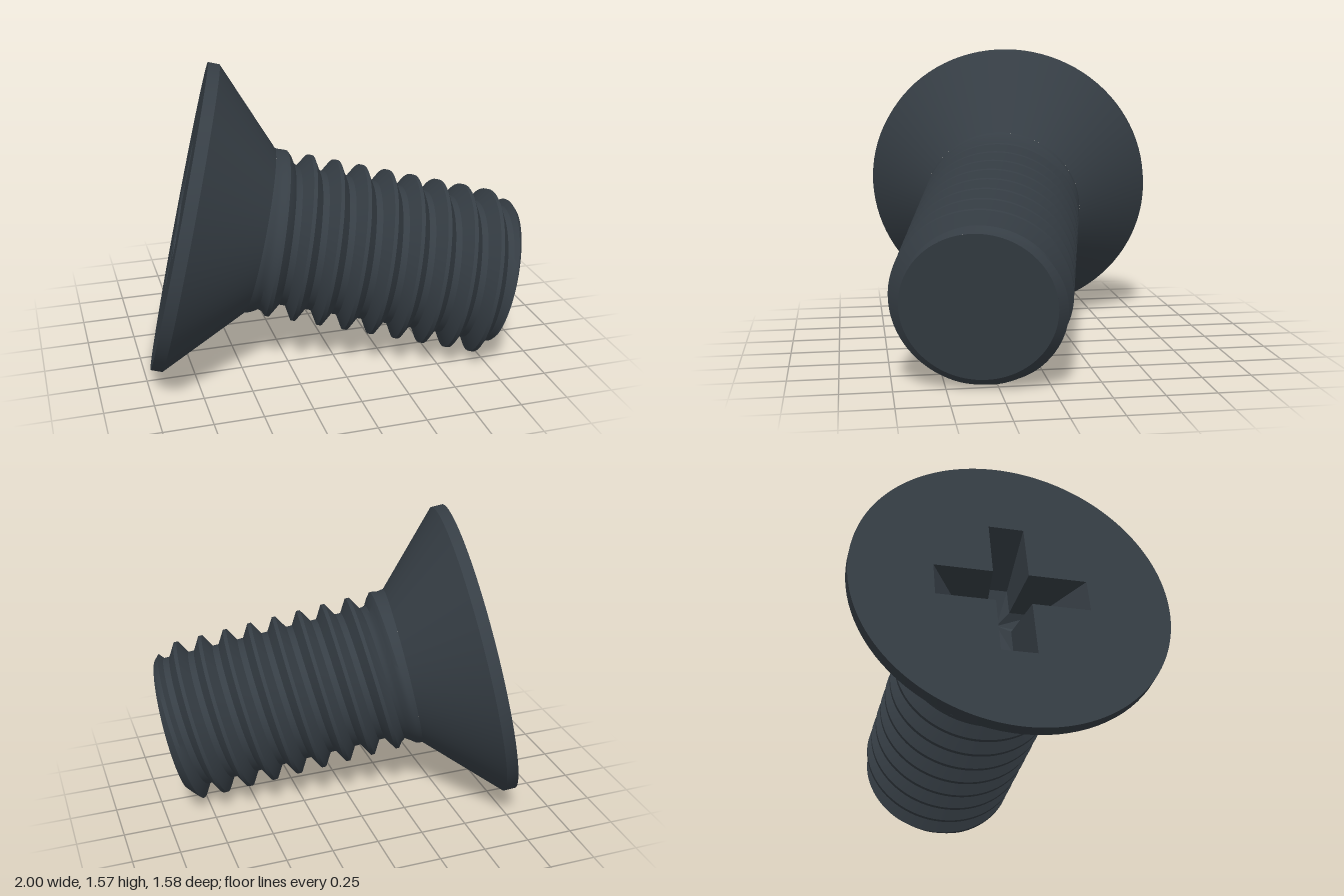
import * as THREE from 'three';
import { mergeVertices, toCreasedNormals } from 'three/addons/utils/BufferGeometryUtils.js';

const HEAD_R = 0.8, RIM = 0.06, NECK = 0.42, END = 1.72, END_R = 0.37;
const CREST = 0.434, ROOT = 0.364, PITCH = 0.138, PHASE = 1.307;

function meshFrom(name, points, material, crease) {
  let geo = new THREE.BufferGeometry();
  geo.setAttribute('position', new THREE.Float32BufferAttribute(points.flat(), 3));
  geo = toCreasedNormals(geo, crease);
  const mesh = new THREE.Mesh(geo, material);
  mesh.name = name;
  return mesh;
}

function latheMesh(name, profile, material) {
  let geo = new THREE.LatheGeometry(profile.map(([r, y]) => new THREE.Vector2(r, y)), 96);
  geo.deleteAttribute('normal');
  geo.deleteAttribute('uv');
  geo = toCreasedNormals(mergeVertices(geo), 0.4);
  const mesh = new THREE.Mesh(geo, material);
  mesh.name = name;
  return mesh;
}

// Thread radius at axial position s and turn fraction t
function threadRadius(s, t) {
  const q = (s - PHASE) / PITCH - t;
  const d = Math.abs(q - Math.round(q)); // 0 at the crest, 0.5 at the root
  const cut = THREE.MathUtils.clamp((d - 0.07) / 0.31, 0, 1);
  const fade = THREE.MathUtils.smoothstep(s, NECK, NECK + 0.15);
  const r = CREST - (CREST - ROOT) * cut * fade;
  return Math.min(r, END_R + (END - s)); // end chamfer
}

// Helical grid whose rows follow the crest and root of the thread
function threadPoints() {
  const offsets = [-0.38, -0.225, -0.07, 0, 0.07, 0.225, 0.38, 0.5];
  const seg = 80, rows = [], out = [];
  for (let k = -8; k <= 4; k++) for (const o of offsets) rows.push(k + o);
  const at = (i, j) => {
    const t = i / seg, a = t * Math.PI * 2;
    const s = THREE.MathUtils.clamp(PHASE + PITCH * (rows[j] + t), NECK, END);
    const r = threadRadius(s, t);
    return [r * Math.cos(a), s, -r * Math.sin(a)];
  };
  for (let j = 0; j < rows.length - 1; j++) {
    for (let i = 0; i < seg; i++) {
      const a = at(i, j), b = at(i + 1, j), c = at(i + 1, j + 1), d = at(i, j + 1);
      if (b[1] !== c[1]) out.push(...a, ...b, ...c);
      if (a[1] !== d[1]) out.push(...a, ...c, ...d);
    }
  }
  return out;
}

// Counter-clockwise cross outline: half length l, half width w
function cross(l, w) {
  const pts = [];
  for (let k = 0; k < 4; k++) {
    const c = Math.round(Math.cos(k * Math.PI / 2)), s = Math.round(Math.sin(k * Math.PI / 2));
    for (const [x, y] of [[l, -w], [l, w], [w, w]]) pts.push([x * c - y * s, x * s + y * c]);
  }
  return pts;
}

export function createModel() {
  const steel = new THREE.MeshStandardMaterial({ color: 0x363e45 });
  steel.name = 'dark steel';

  const screw = new THREE.Group();
  screw.name = 'countersunkScrew';

  // Rim and cone of the head
  screw.add(latheMesh('head', [[HEAD_R, 0], [HEAD_R, RIM], [CREST, NECK]], steel));

  // Flat head face with a cross-shaped opening
  const mouth = cross(0.385, 0.09);
  const disc = new THREE.Shape().absarc(0, 0, HEAD_R, 0, Math.PI * 2);
  disc.holes.push(new THREE.Path(mouth.map(([x, y]) => new THREE.Vector2(x, y))));
  const face = new THREE.Mesh(new THREE.ShapeGeometry(disc, 96).rotateX(Math.PI / 2), steel);
  face.name = 'headFace';
  screw.add(face);

  // Tapered driver recess
  const base = cross(0.2, 0.06), recess = [];
  for (let i = 0; i < 12; i++) {
    const n = (i + 1) % 12;
    const T = [...mouth[i], 0], U = [...mouth[n], 0];
    const B = [...base[i], -0.26], C = [...base[n], -0.26];
    recess.push(T, U, C, T, C, B, B, C, [0, 0, -0.3]);
  }
  const socket = meshFrom('driverRecess', recess, steel, 0.1);
  socket.geometry.rotateX(Math.PI / 2);
  screw.add(socket);

  // Threaded shank and its flat end
  screw.add(meshFrom('threadedShank', threadPoints(), steel, 0.6));
  screw.add(latheMesh('shankEnd', [[END_R, END], [0, END]], steel));

  // Tilt the screw so that it rests on its rim and its tip
  const axis = new THREE.Vector3(0.952, -0.22, 0.213).normalize();
  const up = new THREE.Vector3(0, 1, 0).addScaledVector(axis, -axis.y).normalize();
  const side = new THREE.Vector3().crossVectors(up, axis);
  screw.quaternion.setFromRotationMatrix(new THREE.Matrix4().makeBasis(up, axis, side));
  screw.position.set(-0.755, 0.793, -0.0065);

  const model = new THREE.Group();
  model.name = 'screw';
  model.add(screw);
  return model;
}
